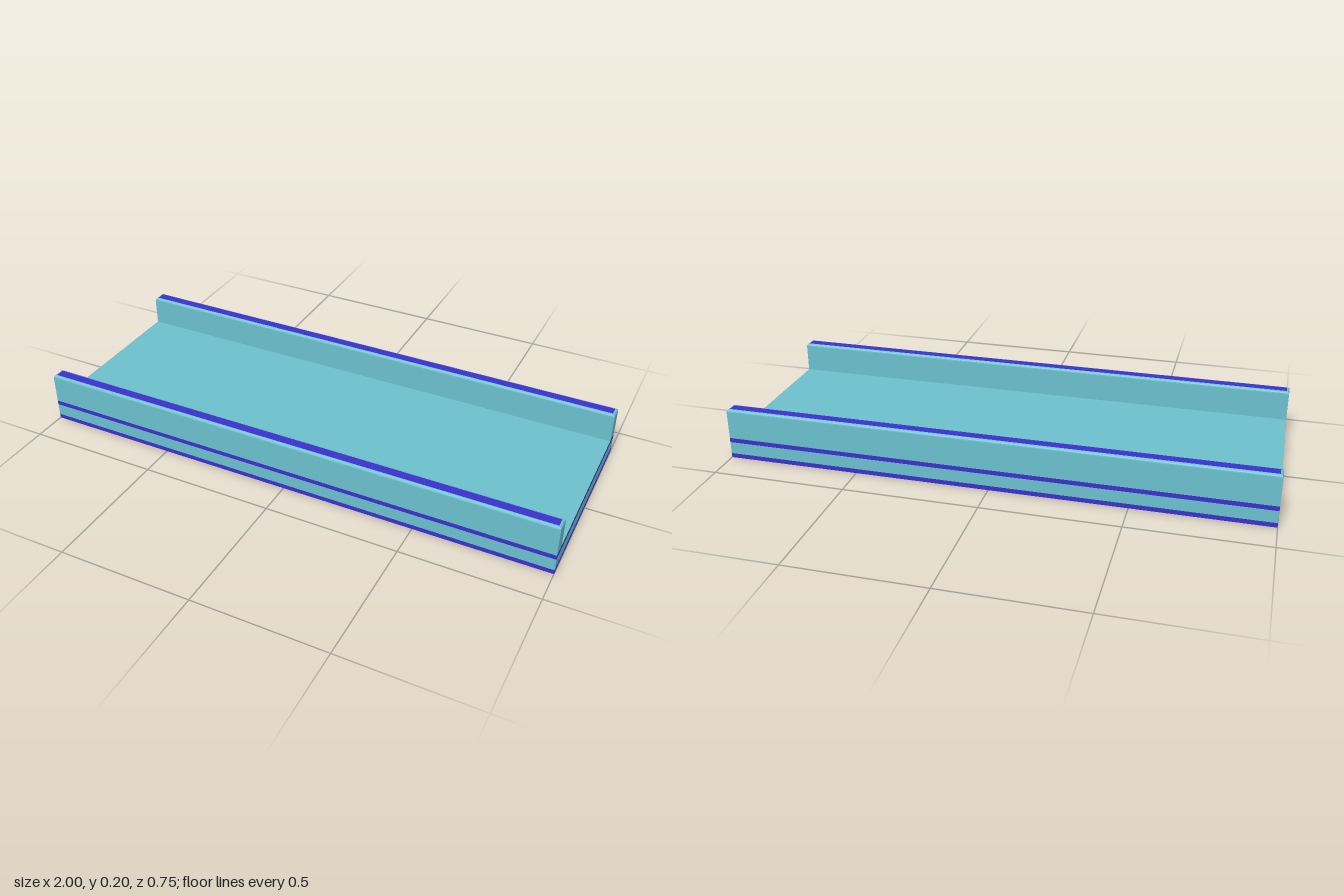
import * as THREE from 'three';

const teal = new THREE.MeshStandardMaterial({ color: 0x6bbfcc });
const blue = new THREE.MeshStandardMaterial({ color: 0x3a30cc });

const LENGTH = 2, WIDTH = 0.746, BASE = 0.08, BAND = 0.017;
const WALL = 0.054, HEIGHT = 0.196, BEVEL = 0.01;

// One layer of the base, with its four sides in one colour and teal top and bottom
function layer(name, y0, y1, side) {
  const geometry = new THREE.BoxGeometry(LENGTH, y1 - y0, WIDTH);
  const mesh = new THREE.Mesh(geometry, [side, side, teal, teal, side, side]);
  mesh.position.y = (y0 + y1) / 2;
  mesh.name = name;
  return mesh;
}

// Side wall with a rounded upper rim and a blue top strip; its lower bevel sits inside the base
function wall(name, z) {
  const x = LENGTH / 2, h = WALL / 2;
  const outline = new THREE.Shape([
    new THREE.Vector2(-x, -h), new THREE.Vector2(x, -h),
    new THREE.Vector2(x, h), new THREE.Vector2(-x, h),
  ]);
  const geometry = new THREE.ExtrudeGeometry(outline, {
    depth: HEIGHT - BASE - BEVEL,
    bevelEnabled: true,
    bevelThickness: BEVEL,
    bevelSize: BEVEL,
    bevelOffset: -BEVEL,
    bevelSegments: 4,
  });
  geometry.rotateX(-Math.PI / 2);
  const mesh = new THREE.Mesh(geometry, [blue, teal]);
  mesh.position.set(0, BASE, z);
  mesh.name = name;
  return mesh;
}

export function createModel() {
  const model = new THREE.Group();
  model.name = 'channelTray';

  // Base slab with a blue band around its lower and upper edges
  model.add(
    layer('lowerBand', 0, BAND, blue),
    layer('baseCore', BAND, BASE - BAND, teal),
    layer('upperBand', BASE - BAND, BASE, blue),
  );

  // Walls along both long edges
  const z = (WIDTH - WALL) / 2;
  model.add(wall('frontWall', z), wall('backWall', -z));
  return model;
}
